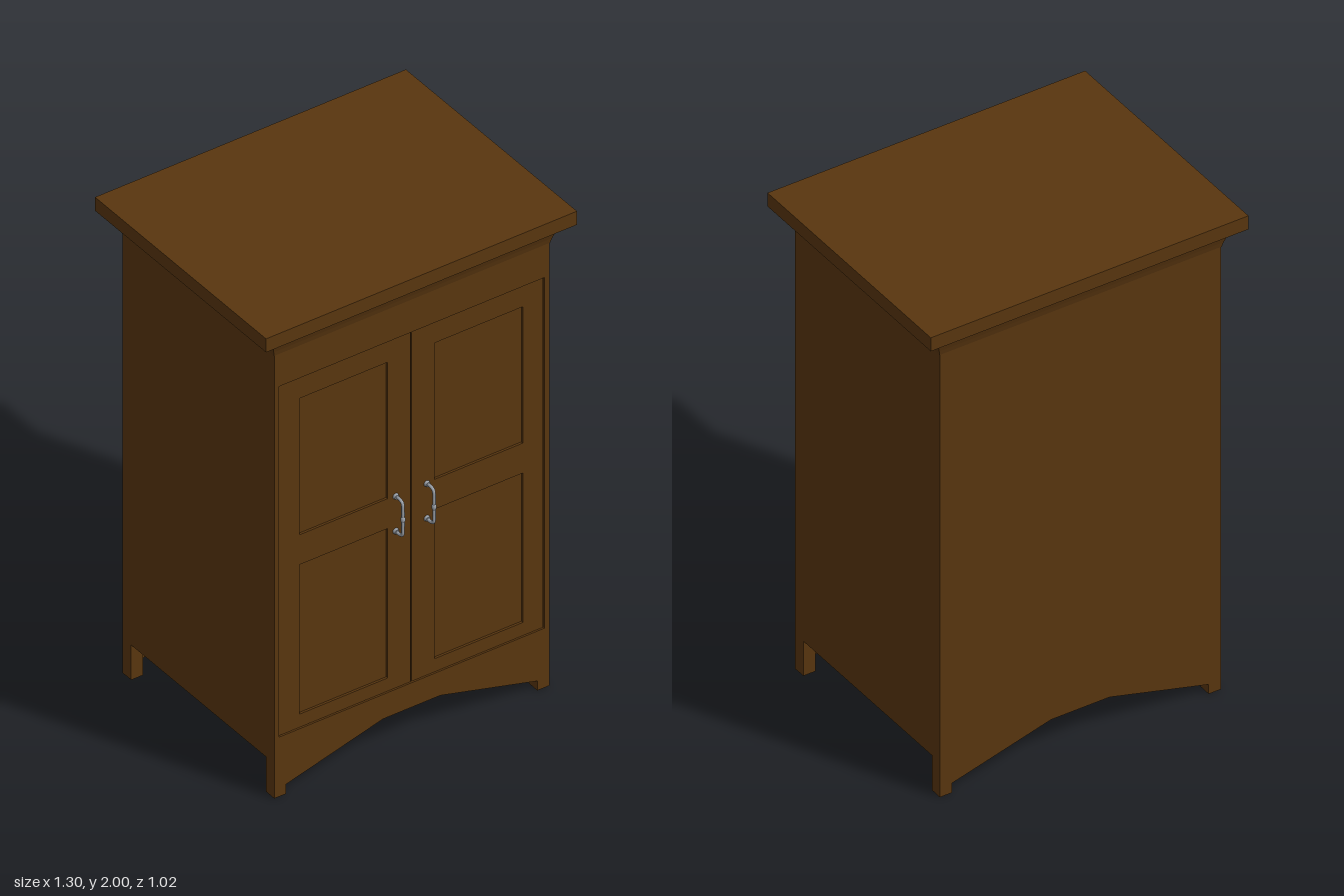
import * as THREE from 'three';

const W = 0.575, D = 0.45, H = 1.87; // half width, half depth and height of the carcass
const wood = new THREE.MeshStandardMaterial({ color: 0x59360f });
wood.name = 'dark wood';
const metal = new THREE.MeshStandardMaterial({ color: 0x9aa0a8 });
metal.name = 'grey metal';

function add(parent, name, geometry, material = wood) {
  const mesh = new THREE.Mesh(geometry, material);
  mesh.name = name;
  parent.add(mesh);
  return mesh;
}

// Box given by its lowest and highest corners
function box(x0, y0, z0, x1, y1, z1) {
  return new THREE.BoxGeometry(x1 - x0, y1 - y0, z1 - z0)
    .translate((x0 + x1) / 2, (y0 + y1) / 2, (z0 + z1) / 2);
}

function rect(x0, y0, x1, y1, Type = THREE.Path) {
  return new Type([[x0, y0], [x1, y0], [x1, y1], [x0, y1]].map(p => new THREE.Vector2(...p)));
}

function plate(shape, z, depth) {
  return new THREE.ExtrudeGeometry(shape, { depth, bevelEnabled: false }).translate(0, 0, z);
}

// Front or back outline with feet and a shallow angular arch
function endShape() {
  const half = [[0.12, 0.147], [0.525, 0.04], [0.525, 0], [W, 0], [W, H]];
  const mirrored = half.map(([x, y]) => [-x, y]).reverse();
  return new THREE.Shape([...half, ...mirrored].map(p => new THREE.Vector2(...p)));
}

// Box whose half sizes change from bottom to top
function flare(y0, out0, y1, out1) {
  const g = box(-1, y0, -1, 1, y1, 1);
  const p = g.attributes.position;
  for (let i = 0; i < p.count; i++) {
    const o = p.getY(i) > (y0 + y1) / 2 ? out1 : out0;
    p.setX(i, p.getX(i) * (W + o[0]));
    p.setZ(i, p.getZ(i) * (D + o[1]));
  }
  g.computeVertexNormals();
  return g;
}

function makeHandle() {
  const handle = new THREE.Group();
  handle.name = 'handle';
  const path = new THREE.CatmullRomCurve3([
    [-0.073, 0], [-0.074, 0.025], [-0.066, 0.041], [-0.035, 0.044], [0, 0.044],
    [0.035, 0.044], [0.066, 0.041], [0.074, 0.025], [0.073, 0],
  ].map(([y, z]) => new THREE.Vector3(0, y, z)));
  add(handle, 'handleBar', new THREE.TubeGeometry(path, 40, 0.006, 10), metal);
  for (const s of [-1, 1]) {
    const foot = add(handle, 'handleFoot', new THREE.CylinderGeometry(0.009, 0.012, 0.01, 12), metal);
    foot.rotation.x = Math.PI / 2;
    foot.position.set(0, 0.073 * s, 0.005);
  }
  const bead = add(handle, 'handleBead', new THREE.SphereGeometry(0.009, 12, 8), metal);
  bead.scale.y = 1.6;
  bead.position.z = 0.044;
  return handle;
}

function makeDoor(side) {
  const door = new THREE.Group();
  door.name = side > 0 ? 'leftDoor' : 'rightDoor';
  const span = (a, b) => side > 0 ? [a, b] : [-b, -a];
  const [x0, x1] = span(0.002, 0.552);
  const [p0, p1] = span(0.098, 0.467);
  const [b0, b1] = span(0, 0.56);
  const frame = rect(x0, 0.253, x1, 1.723, THREE.Shape);
  frame.holes.push(rect(p0, 0.308, p1, 0.937), rect(p0, 1.063, p1, 1.637));
  add(door, 'doorFrame', plate(frame, 0.434, 0.012));
  add(door, 'doorPanel', box(b0, 0.245, 0.42, b1, 1.73, 0.437));
  const handle = makeHandle();
  handle.position.set(0.065 * side, 0.987, 0.446);
  door.add(handle);
  return door;
}

export function createModel() {
  const model = new THREE.Group();
  model.name = 'cabinet';

  // Carcass
  const front = endShape();
  front.holes.push(rect(-0.555, 0.25, 0.555, 1.726));
  add(model, 'frontFrame', plate(front, D - 0.02, 0.02));
  add(model, 'backPanel', plate(endShape(), -D, 0.02));
  add(model, 'bottomPanel', box(-0.55, 0.24, -0.435, 0.55, 0.25, 0.435));
  for (const s of [-1, 1]) {
    const side = add(model, 'sidePanel', box(-0.0125, 0.147, -0.43, 0.0125, H, 0.43));
    side.position.x = s * (W - 0.0125);
    // Legs fill the corners behind the front and back
    for (const t of [-1, 1]) {
      const leg = add(model, 'leg', box(-0.0245, 0, -0.016, 0.0245, 0.245, 0.016));
      leg.position.set(s * (W - 0.025), 0, t * (D - 0.034));
    }
  }

  // Doors
  model.add(makeDoor(-1), makeDoor(1));

  // Cornice moulding and top
  add(model, 'lowerMoulding', flare(1.865, [0.002, 0.002], 1.885, [0.007, 0.007]));
  add(model, 'middleMoulding', flare(1.885, [0.007, 0.007], 1.918, [0.018, 0.018]));
  add(model, 'upperMoulding', flare(1.918, [0.018, 0.018], 1.945, [0.068, 0.054]));
  add(model, 'topSlab', box(-0.65, 1.943, -0.508, 0.65, 2, 0.508));
  return model;
}
